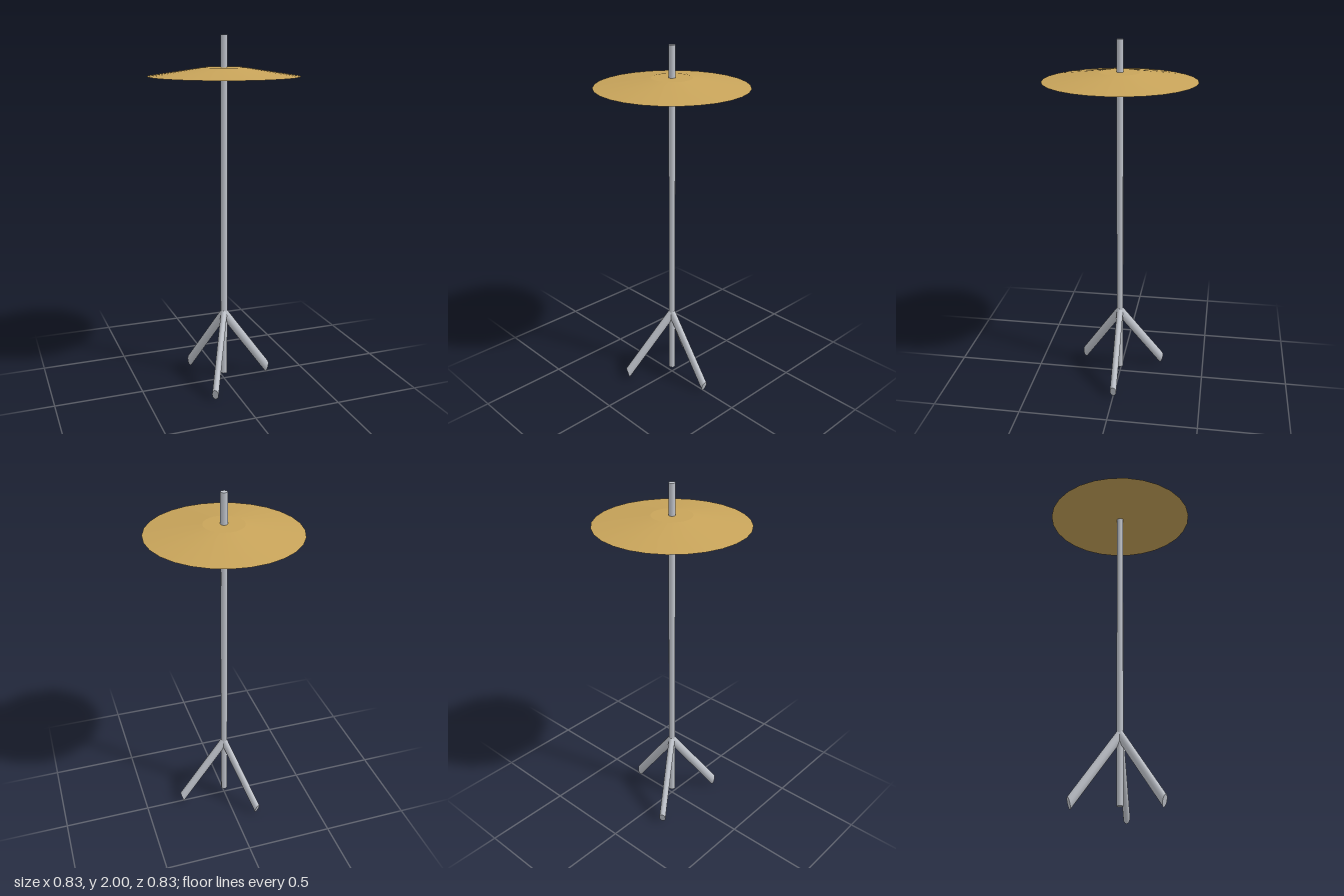
import * as THREE from 'three';

const metal = new THREE.MeshStandardMaterial({ color: 0xc0c4cc });
metal.name = 'silver metal';
const brass = new THREE.MeshStandardMaterial({ color: 0xc8a45a });
brass.name = 'brass';

function addMesh(parent, name, geometry, material) {
  const mesh = new THREE.Mesh(geometry, material);
  mesh.name = name;
  parent.add(mesh);
  return mesh;
}

// Oval leg along +x, running from the pole down to its foot
function legGeometry() {
  const foot = new THREE.Vector3(0.277, 0.033, 0);
  const top = new THREE.Vector3(0, 0.418, 0);
  const axis = top.clone().sub(foot);
  const geometry = new THREE.CylinderGeometry(1, 1, 1, 12);
  const matrix = new THREE.Matrix4().makeBasis(
    new THREE.Vector3(0.009, 0.032, 0), // tall half-width of the end face
    axis,
    new THREE.Vector3(0, 0, 0.0188)
  );
  matrix.setPosition(foot.add(top).multiplyScalar(0.5));
  return geometry.applyMatrix4(matrix);
}

export function createModel() {
  const model = new THREE.Group();
  model.name = 'cymbalStand';

  // Upright pole
  const pole = addMesh(model, 'pole', new THREE.CylinderGeometry(0.0193, 0.0193, 1.96, 8), metal);
  pole.position.y = 1.02;
  pole.rotation.y = Math.PI / 8;

  // Shallow cone with a flat crown
  const cymbal = addMesh(model, 'cymbal', new THREE.CylinderGeometry(0.11, 0.417, 0.047, 28), brass);
  cymbal.position.y = 1.807;

  // Tripod
  const tripod = new THREE.Group();
  tripod.name = 'tripod';
  const geometry = legGeometry();
  for (let i = 0; i < 3; i++) {
    const leg = addMesh(tripod, `leg${i + 1}`, geometry, metal);
    leg.rotation.y = (i * Math.PI * 2) / 3;
  }
  model.add(tripod);

  return model;
}
